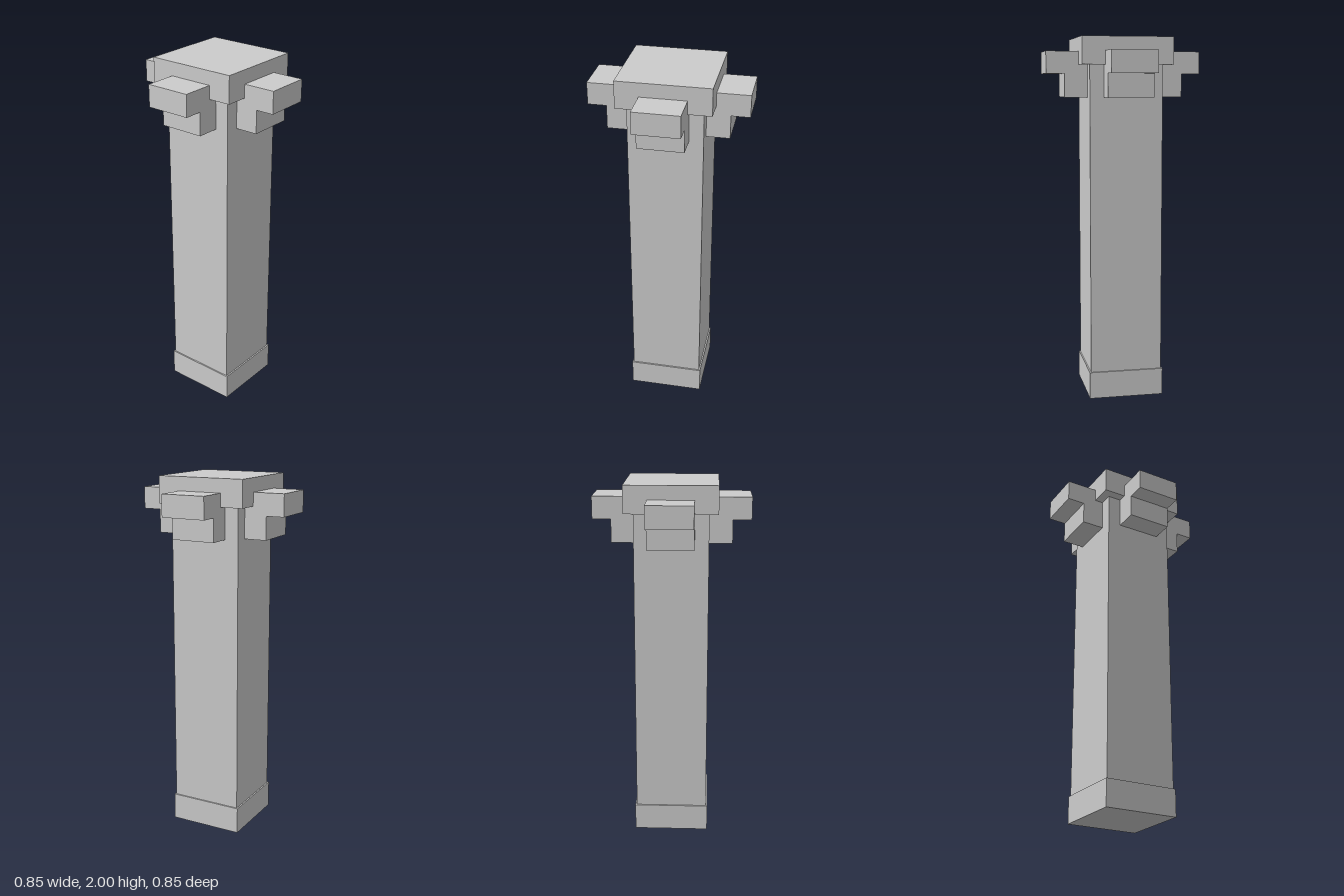
import * as THREE from 'three';

const material = new THREE.MeshStandardMaterial({ color: 0xcccccc, flatShading: true });

// Square block standing on height y0 and reaching y1
function block(name, width, y0, y1) {
  const mesh = new THREE.Mesh(new THREE.BoxGeometry(width, y1 - y0, width), material);
  mesh.name = name;
  mesh.position.y = (y0 + y1) / 2;
  return mesh;
}

export function createModel() {
  const pillar = new THREE.Group();
  pillar.name = 'pillar';

  // Base, shaft and cap slab
  pillar.add(block('base', 0.416, 0, 0.15));
  pillar.add(block('shaft', 0.4, 0.15, 1.852));
  pillar.add(block('cap', 0.498, 1.852, 2));

  // Stepped bracket: side profile extruded across its width
  const profile = new THREE.Shape([
    [0.19, 1.678], [0.325, 1.678], [0.325, 1.805],
    [0.425, 1.805], [0.425, 1.925], [0.19, 1.925],
  ].map(([x, y]) => new THREE.Vector2(x, y)));
  const width = 0.248;
  const bracketGeometry = new THREE.ExtrudeGeometry(profile, { depth: width, bevelEnabled: false });
  bracketGeometry.translate(0, 0, -width / 2);

  // One bracket on each side of the shaft
  ['leftBracket', 'backBracket', 'rightBracket', 'frontBracket'].forEach((name, i) => {
    const bracket = new THREE.Mesh(bracketGeometry, material);
    bracket.name = name;
    bracket.rotation.y = i * Math.PI / 2;
    pillar.add(bracket);
  });

  return pillar;
}
